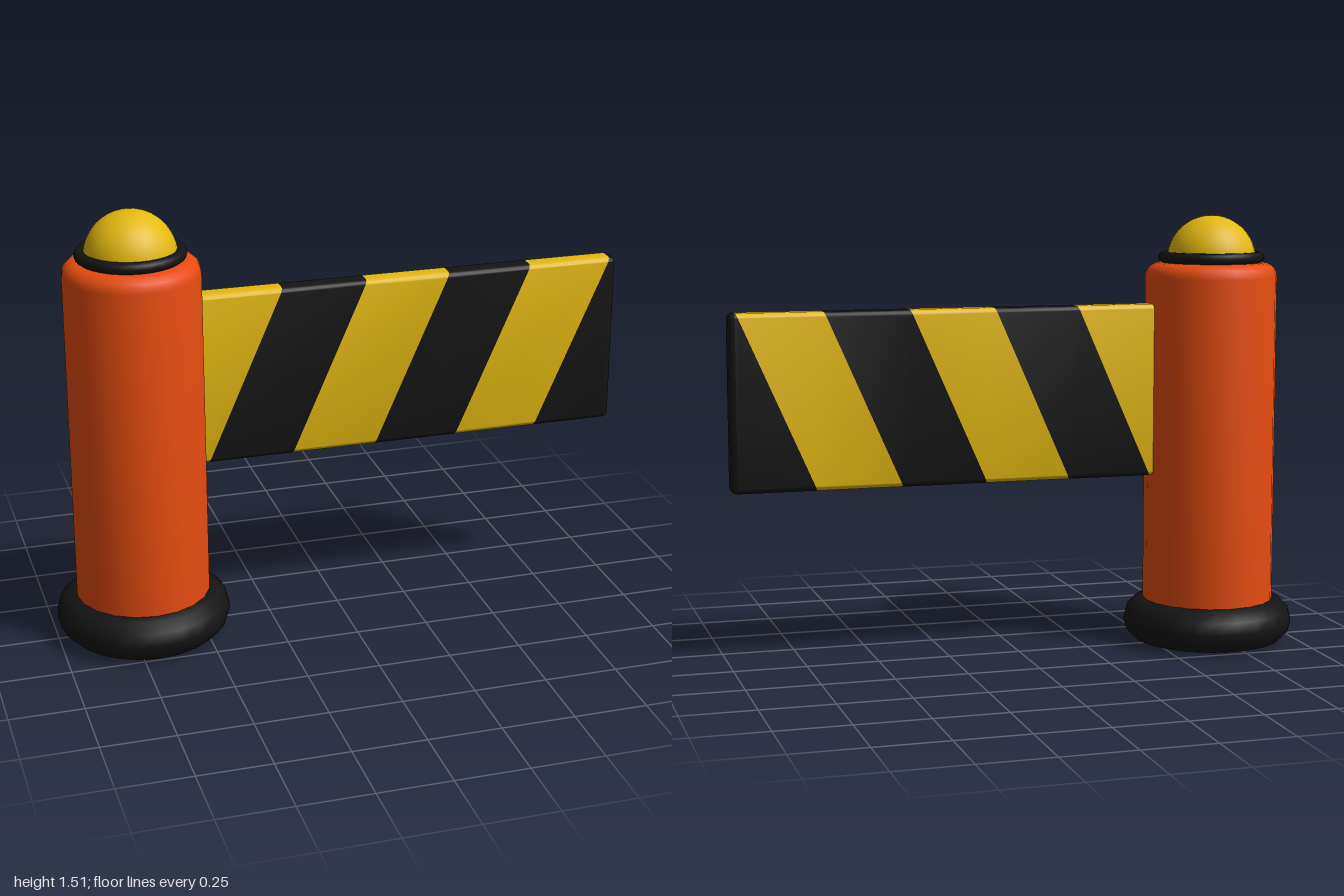
import * as THREE from 'three';
import { toCreasedNormals } from 'three/addons/utils/BufferGeometryUtils.js';

const orange = new THREE.MeshStandardMaterial({ color: 0xe64c10 });
const yellow = new THREE.MeshStandardMaterial({ color: 0xe4b910 });
const black = new THREE.MeshStandardMaterial({ color: 0x141414 });

const POST_X = -0.7;
const BOARD = { left: -0.5, right: 1, midY: 0.905, halfY: 0.3, halfZ: 0.04, round: 0.02 };

function add(parent, name, geometry, material, x = 0, y = 0) {
  const mesh = new THREE.Mesh(geometry, material);
  mesh.name = name;
  mesh.position.set(x, y, 0);
  parent.add(mesh);
  return mesh;
}

function ring(radius, tube, radial, around) {
  return new THREE.TorusGeometry(radius, tube, radial, around).rotateX(Math.PI / 2);
}

// Rounded board cross-section swept along x; place(t, y, z) returns the final position
function boardPiece(steps, place) {
  const { halfY: h, halfZ: w, round: r } = BOARD;
  const s = new THREE.Shape();
  s.absarc(w - r, h - r, r, 0, Math.PI / 2);
  s.absarc(r - w, h - r, r, Math.PI / 2, Math.PI);
  s.absarc(r - w, r - h, r, Math.PI, Math.PI * 1.5);
  s.absarc(w - r, r - h, r, Math.PI * 1.5, Math.PI * 2);
  const g = new THREE.ExtrudeGeometry(s, { depth: 1, steps, bevelEnabled: false, curveSegments: 4 });
  const p = g.attributes.position;
  for (let i = 0; i < p.count; i++) {
    p.setXYZ(i, ...place(p.getZ(i), p.getY(i), -p.getX(i)));
  }
  return toCreasedNormals(g, 0.6);
}

export function createModel() {
  const model = new THREE.Group();
  model.name = 'barrier';

  // Post with a rounded shoulder
  const profile = [new THREE.Vector2(0, 0.06), new THREE.Vector2(0.23, 0.06)];
  for (let i = 0; i <= 5; i++) {
    const a = (i / 5) * Math.PI / 2;
    profile.push(new THREE.Vector2(0.18 + 0.05 * Math.cos(a), 1.295 + 0.05 * Math.sin(a)));
  }
  profile.push(new THREE.Vector2(0, 1.345));
  add(model, 'post', toCreasedNormals(new THREE.LatheGeometry(profile, 20), 0.6), orange, POST_X);

  // Base ring, lamp collar and lamp
  add(model, 'baseRing', ring(0.22, 0.079, 12, 24), black, POST_X, 0.078);
  add(model, 'lampCollar', ring(0.165, 0.02, 10, 32), black, POST_X, 1.363);
  add(model, 'lamp', new THREE.SphereGeometry(0.155, 32, 12, 0, Math.PI * 2, 0, Math.PI / 2),
    yellow, POST_X, 1.353);

  // Board made of slanted stripes
  const board = new THREE.Group();
  board.name = 'board';
  model.add(board);
  const inner = BOARD.right - BOARD.round;
  const slant = 0.265 / 0.6, pitch = 0.294;
  const edge = (i, y) => THREE.MathUtils.clamp(-0.332 + i * pitch + slant * y, BOARD.left, inner);
  for (let i = 0; i < 6; i++) {
    const geometry = boardPiece(1, (t, y, z) => [
      THREE.MathUtils.lerp(edge(i - 1, y), edge(i, y), t), BOARD.midY + y, z]);
    add(board, i % 2 ? 'blackStripe' : 'yellowStripe', geometry, i % 2 ? black : yellow);
  }

  // Rounded free end
  const { halfY, halfZ, round } = BOARD;
  add(board, 'boardEnd', boardPiece(4, (t, y, z) => {
    const a = t * Math.PI / 2, c = Math.cos(a);
    const y0 = THREE.MathUtils.clamp(y, round - halfY, halfY - round);
    const z0 = THREE.MathUtils.clamp(z, round - halfZ, halfZ - round);
    return [inner + round * Math.sin(a), BOARD.midY + y0 + (y - y0) * c, z0 + (z - z0) * c];
  }), black);

  return model;
}
